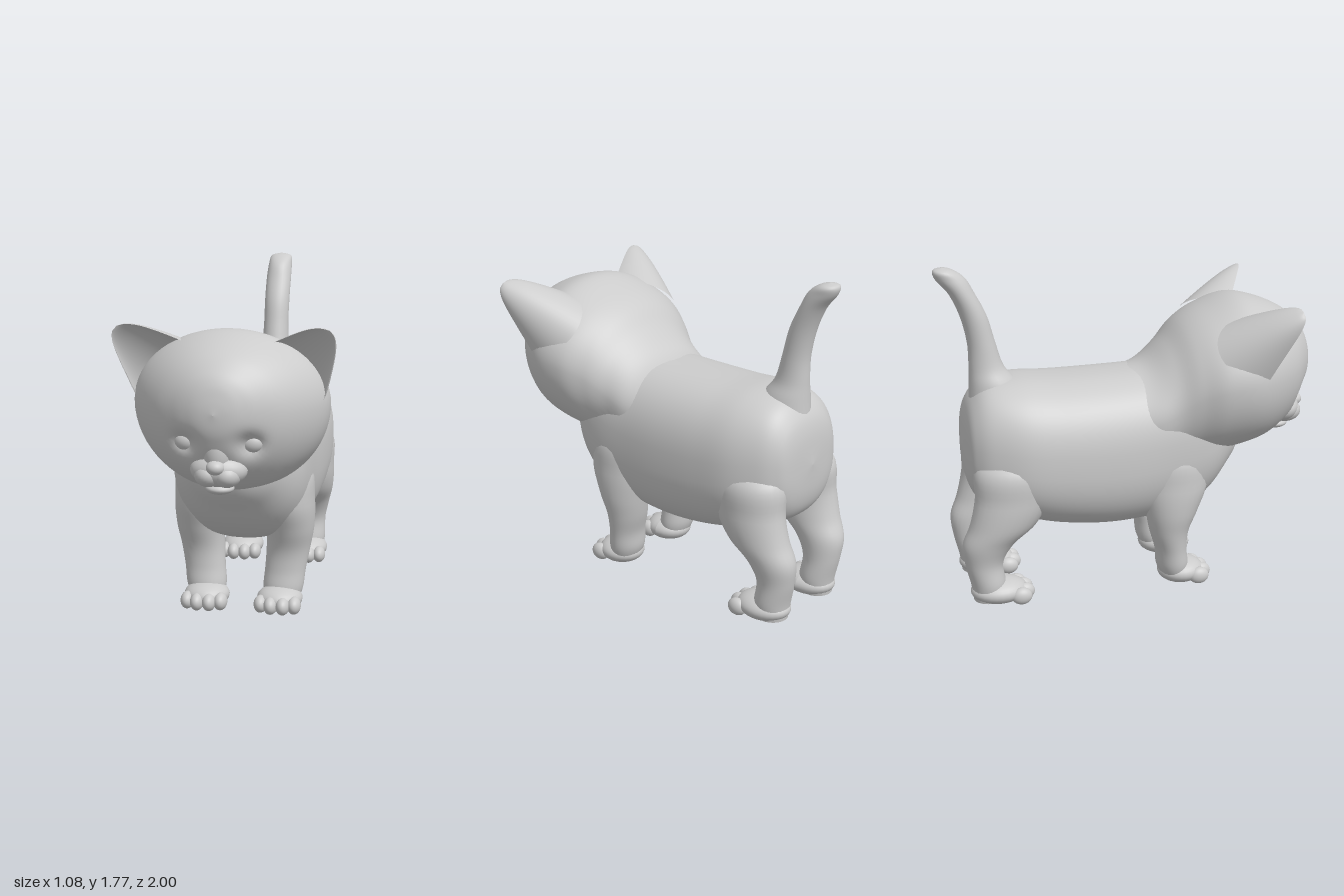
import * as THREE from 'three';

const V = (x, y, z) => new THREE.Vector3(x, y, z);
const material = new THREE.MeshStandardMaterial({ color: 0xcccccc });

function mesh(name, geometry, parent) {
  const m = new THREE.Mesh(geometry, material);
  m.name = name;
  parent.add(m);
  return m;
}

// Smooth grid closed around v; fn(u, v) returns a point, u and v in 0..1
function surface(nu, nv, fn) {
  const pos = [], index = [];
  for (let i = 0; i <= nu; i++)
    for (let j = 0; j < nv; j++) pos.push(...fn(i / nu, j / nv).toArray());
  for (let i = 0; i < nu; i++)
    for (let j = 0; j < nv; j++) {
      const k = (j + 1) % nv, a = i * nv + j, b = i * nv + k;
      index.push(a, a + nv, b, b, a + nv, b + nv);
    }
  const g = new THREE.BufferGeometry();
  g.setAttribute('position', new THREE.Float32BufferAttribute(pos, 3));
  g.setIndex(index);
  g.computeVertexNormals();
  return g;
}

// Loft along z (front to back); sections are [z, bottom, widest, top, halfWidth]
function loftZ(sections, power, warp = (p) => p) {
  const centre = new THREE.CatmullRomCurve3(sections.map((s) => V(0, s[2], s[0])), false, 'catmullrom');
  const size = new THREE.CatmullRomCurve3(sections.map((s) => V(s[4], s[3] - s[2], s[2] - s[1])), false, 'catmullrom');
  const bend = (n) => Math.sign(n) * Math.abs(n) ** power;
  return surface(sections.length * 6, 64, (u, v) => {
    const c = centre.getPoint(u), r = size.getPoint(u), a = v * Math.PI * 2;
    const h = Math.max(Math.sin(a) > 0 ? r.y : r.z, 0.001);
    return warp(V(bend(Math.cos(a)) * Math.max(r.x, 0.001), c.y + bend(Math.sin(a)) * h, c.z));
  });
}

// Loft upward; sections are [y, x, z, radiusX, radiusZ]
function loftY(sections) {
  const centre = new THREE.CatmullRomCurve3(sections.map((s) => V(s[1], s[0], s[2])), false, 'catmullrom');
  const size = new THREE.CatmullRomCurve3(sections.map((s) => V(s[3], 0, s[4])), false, 'catmullrom');
  return surface(sections.length * 5, 28, (u, v) => {
    const c = centre.getPoint(u), r = size.getPoint(u), a = v * Math.PI * 2;
    return V(c.x + Math.cos(a) * Math.max(r.x, 0.001), c.y, c.z + Math.sin(a) * Math.max(r.z, 0.001));
  });
}

const ball = (x, y, z, rx, ry, rz) =>
  new THREE.SphereGeometry(1, 28, 18).scale(rx, ry, rz).translate(x, y, z);

// Mirror a geometry across x = 0, turning its faces back outward
function mirrored(geometry) {
  const g = geometry.clone().scale(-1, 1, 1), idx = g.index;
  for (let i = 0; i < idx.count; i += 3) {
    const a = idx.getX(i);
    idx.setX(i, idx.getX(i + 1));
    idx.setX(i + 1, a);
  }
  g.computeVertexNormals();
  return g;
}

function pair(name, geometry, parent) {
  const cap = name[0].toUpperCase() + name.slice(1);
  mesh('left' + cap, geometry, parent);
  mesh('right' + cap, mirrored(geometry), parent);
}

// Paw with four toes, centred at x, z
function paw(name, x, z, length, parent) {
  pair(name, ball(x, 0.075, z, 0.12, 0.068, length), parent);
  [-0.088, -0.032, 0.032, 0.088].forEach((dx, i) => {
    const reach = Math.abs(dx) > 0.05 ? 0.045 : 0.02;
    pair(name + 'Toe' + (i + 1), ball(x + dx, 0.06, z + length - reach, 0.036, 0.046, 0.055), parent);
  });
}

export function createModel() {
  const cat = new THREE.Group();
  cat.name = 'kitten';

  // Body from chest to rump
  mesh('body', loftZ([
    [0.62, 0.8, 0.85, 0.9, 0], [0.57, 0.69, 0.88, 1.05, 0.18], [0.5, 0.6, 0.87, 1.12, 0.26],
    [0.4, 0.485, 0.85, 1.17, 0.33], [0.28, 0.4, 0.82, 1.19, 0.355], [0.08, 0.365, 0.78, 1.185, 0.365],
    [-0.15, 0.355, 0.77, 1.18, 0.375], [-0.4, 0.385, 0.78, 1.18, 0.375], [-0.6, 0.44, 0.8, 1.19, 0.36],
    [-0.75, 0.5, 0.82, 1.17, 0.305], [-0.83, 0.56, 0.83, 1.1, 0.245], [-0.87, 0.66, 0.83, 1.0, 0.17],
    [-0.885, 0.83, 0.83, 0.83, 0],
  ], 0.82), cat);

  // Head and neck, with eye sockets pressed in
  const head = new THREE.Group();
  head.name = 'head';
  cat.add(head);
  mesh('skull', loftZ([
    [1.0, 1.18, 1.18, 1.18, 0], [0.99, 1.1, 1.18, 1.25, 0.075], [0.97, 1.04, 1.18, 1.32, 0.135],
    [0.93, 0.96, 1.18, 1.38, 0.21], [0.85, 0.85, 1.17, 1.45, 0.315], [0.72, 0.765, 1.17, 1.51, 0.42],
    [0.58, 0.73, 1.17, 1.535, 0.485], [0.42, 0.7, 1.15, 1.48, 0.475], [0.3, 0.68, 1.1, 1.41, 0.415],
    [0.2, 0.66, 1.02, 1.305, 0.365], [0.08, 0.62, 0.96, 1.205, 0.345], [-0.08, 0.64, 0.92, 1.165, 0.3],
  ], 1, (p) => {
    const dx = (Math.abs(p.x) - 0.16) / 0.058, dy = (p.y - 1.03) / 0.05;
    if (p.z > 0.75) p.z -= 0.05 * Math.exp(-dx * dx - dy * dy);
    return p;
  }), head);
  pair('eye', ball(0.16, 1.03, 0.858, 0.058, 0.05, 0.046), head);

  // Muzzle, nose and open mouth
  mesh('noseBridge', ball(0, 0.985, 0.875, 0.075, 0.13, 0.085), head);
  mesh('muzzle', ball(0, 0.895, 0.86, 0.14, 0.085, 0.105), head);
  pair('cheek', ball(0.045, 0.875, 0.885, 0.07, 0.062, 0.085), head);
  mesh('nose', ball(0, 0.92, 0.945, 0.045, 0.036, 0.046), head);
  mesh('lowerLip', ball(0, 0.798, 0.84, 0.07, 0.03, 0.07), head);

  // Cupped ears: back arc from inner to outer rim, then hollow front
  const inner = new THREE.QuadraticBezierCurve3(V(0.19, 1.46, 0.64), V(0.34, 1.54, 0.72), V(0.47, 1.585, 0.79));
  const outer = new THREE.QuadraticBezierCurve3(V(0.46, 1.18, 0.62), V(0.52, 1.36, 0.7), V(0.56, 1.535, 0.8));
  pair('ear', surface(28, 40, (u, v) => {
    const a = inner.getPoint(u), b = outer.getPoint(u), back = v < 0.5;
    const s = back ? v * 2 : 2 - v * 2, arc = Math.sin(s * Math.PI);
    const depth = back ? 0.22 * (1 - u) + 0.035 : 0.1 * (1 - u) + 0.008;
    const p = a.clone().lerp(b, (1 - Math.cos(s * Math.PI)) / 2);
    p.addScaledVector(V(0.16, 0.16, -0.97), depth * arc);
    const mid = a.add(b).multiplyScalar(0.5).add(V(0, 0, -0.015));
    return p.lerp(mid, 1 - Math.sqrt(Math.max(0, 1 - u ** 10)));
  }), head);

  // Upright tail curving back to a blunt tip
  mesh('tail', loftY([
    [1.04, 0, -0.69, 0.13, 0.15], [1.16, 0, -0.71, 0.11, 0.125], [1.25, 0, -0.743, 0.08, 0.09],
    [1.38, 0, -0.765, 0.07, 0.072], [1.52, 0, -0.8, 0.07, 0.068], [1.64, 0, -0.855, 0.07, 0.065],
    [1.72, 0, -0.91, 0.066, 0.075], [1.765, 0, -0.945, 0.055, 0.05], [1.78, 0, -0.95, 0, 0],
  ]), cat);

  // Legs
  pair('frontLeg', loftY([
    [0.04, 0.2, 0.21, 0.08, 0.06], [0.12, 0.205, 0.2, 0.105, 0.085], [0.22, 0.215, 0.188, 0.108, 0.085],
    [0.33, 0.228, 0.175, 0.115, 0.105], [0.45, 0.24, 0.185, 0.125, 0.14], [0.6, 0.23, 0.2, 0.138, 0.18],
    [0.78, 0.2, 0.2, 0.14, 0.17], [0.9, 0.15, 0.2, 0, 0],
  ]), cat);
  paw('frontPaw', 0.195, 0.25, 0.125, cat);

  pair('hindLeg', loftY([
    [0.03, 0.19, -0.8, 0.08, 0.08], [0.12, 0.19, -0.8, 0.1, 0.092], [0.24, 0.195, -0.82, 0.095, 0.1],
    [0.35, 0.205, -0.795, 0.11, 0.135], [0.46, 0.215, -0.715, 0.13, 0.175], [0.6, 0.215, -0.665, 0.14, 0.195],
    [0.78, 0.19, -0.65, 0.15, 0.19], [0.92, 0.15, -0.62, 0, 0],
  ]), cat);
  paw('hindPaw', 0.19, -0.745, 0.15, cat);

  return cat;
}
